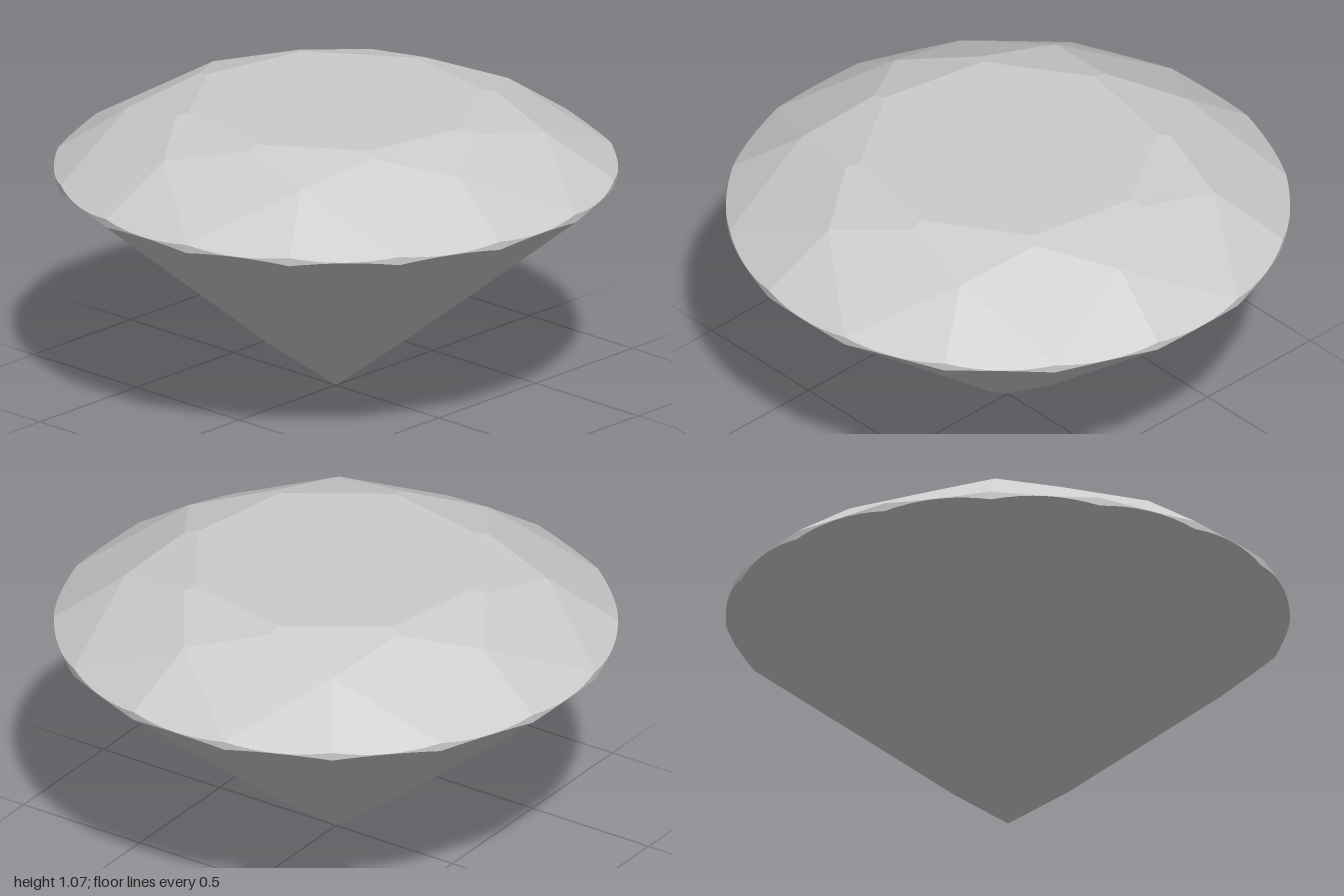
import * as THREE from 'three';

const STEP = 22.5;            // angle between neighbouring facet ridges
const MAIN = -STEP / 2;       // angle of the first main facet
const ARC = 8;                // rim segments per girdle facet
const CENTRE = new THREE.Vector3(0, 0.8, 0);

// Point from radius, angle in degrees (x towards z) and height
function polar(r, deg, y) {
  const a = THREE.MathUtils.degToRad(deg);
  return new THREE.Vector3(r * Math.cos(a), y, r * Math.sin(a));
}

// The flat girdle facets cut the round rim in shallow scallops:
// yEnd at the ridges, yMid half way between them
function rimArc(deg, yEnd, yMid) {
  const pts = [];
  const half = THREE.MathUtils.degToRad(STEP / 2);
  for (let i = 0; i <= ARC; i++) {
    const t = (2 * i) / ARC - 1;
    const k = (1 - Math.cos(t * half)) / (1 - Math.cos(half));
    pts.push(polar(1, deg + STEP * (i / ARC), yMid + (yEnd - yMid) * k));
  }
  return pts;
}

// Flat-shaded mesh from convex polygons, each fanned and turned outward
function facetMesh(name, polygons, material) {
  const pts = [];
  for (const poly of polygons) {
    for (let i = 1; i < poly.length - 1; i++) {
      const [a, b, c] = [poly[0], poly[i], poly[i + 1]];
      const n = b.clone().sub(a).cross(c.clone().sub(a));
      const outward = n.dot(a.clone().sub(CENTRE)) > 0;
      pts.push(a, ...(outward ? [b, c] : [c, b]));
    }
  }
  const geometry = new THREE.BufferGeometry().setFromPoints(pts);
  geometry.computeVertexNormals();
  const mesh = new THREE.Mesh(geometry, material);
  mesh.name = name;
  return mesh;
}

export function createModel() {
  const group = new THREE.Group();
  group.name = 'brilliantCutGem';
  const flat = new THREE.MeshStandardMaterial({ color: 0xcccccc, flatShading: true });
  const smooth = new THREE.MeshStandardMaterial({ color: 0xcccccc });

  // Named ridge points at a given angle
  const tableCorner = (d) => polar(0.535, d, 1.07);
  const kiteTop = (d) => polar(0.582, d, 1.059);
  const kiteSide = (d) => polar(0.75, d, 1.0);
  const rimTop = (d) => polar(1, d, 0.833);
  const rimBottom = (d) => polar(1, d, 0.802);
  const pavilionSide = (d) => polar(0.285, d, 0.211);
  const culet = new THREE.Vector3(0, 0, 0);

  const table = [], stars = [], kites = [], upperHalves = [], mains = [], lowerHalves = [];
  for (let i = 0; i < 8; i++) {
    const a = MAIN + i * 2 * STEP;   // main facet direction
    const b = a + STEP;              // star facet direction
    const c = a + 2 * STEP;          // next main facet
    table.push(tableCorner(a));
    stars.push([kiteSide(b), kiteTop(a), tableCorner(a), tableCorner(c), kiteTop(c)]);
    kites.push([kiteTop(a), kiteSide(a - STEP), rimTop(a), kiteSide(b)]);
    mains.push([culet, pavilionSide(a - STEP), rimBottom(a), pavilionSide(b)]);
    for (const start of [a, b]) {
      upperHalves.push([kiteSide(b), ...rimArc(start, 0.833, 0.82)]);
      lowerHalves.push([pavilionSide(b), ...rimArc(start, 0.802, 0.818)]);
    }
  }
  group.add(
    facetMesh('table', [table], flat),
    facetMesh('starFacets', stars, flat),
    facetMesh('crownMainFacets', kites, flat),
    facetMesh('upperGirdleFacets', upperHalves, flat),
    facetMesh('lowerGirdleFacets', lowerHalves, flat),
    facetMesh('pavilionMainFacets', mains, flat),
  );

  // Thin round girdle band between the two scalloped rims
  const pts = [], normals = [], index = [];
  for (let i = 0; i < 16; i++) {
    const start = MAIN + i * STEP;
    const top = rimArc(start, 0.833, 0.82);
    const bottom = rimArc(start, 0.802, 0.818);
    for (let j = 0; j <= ARC; j++) {
      const k = pts.length;
      pts.push(top[j], bottom[j]);
      normals.push(top[j].x, 0, top[j].z, top[j].x, 0, top[j].z);
      if (j < ARC) index.push(k, k + 2, k + 1, k + 1, k + 2, k + 3);
    }
  }
  const band = new THREE.BufferGeometry().setFromPoints(pts);
  band.setAttribute('normal', new THREE.Float32BufferAttribute(normals, 3));
  band.setIndex(index);
  const girdle = new THREE.Mesh(band, smooth);
  girdle.name = 'girdle';
  group.add(girdle);

  return group;
}
